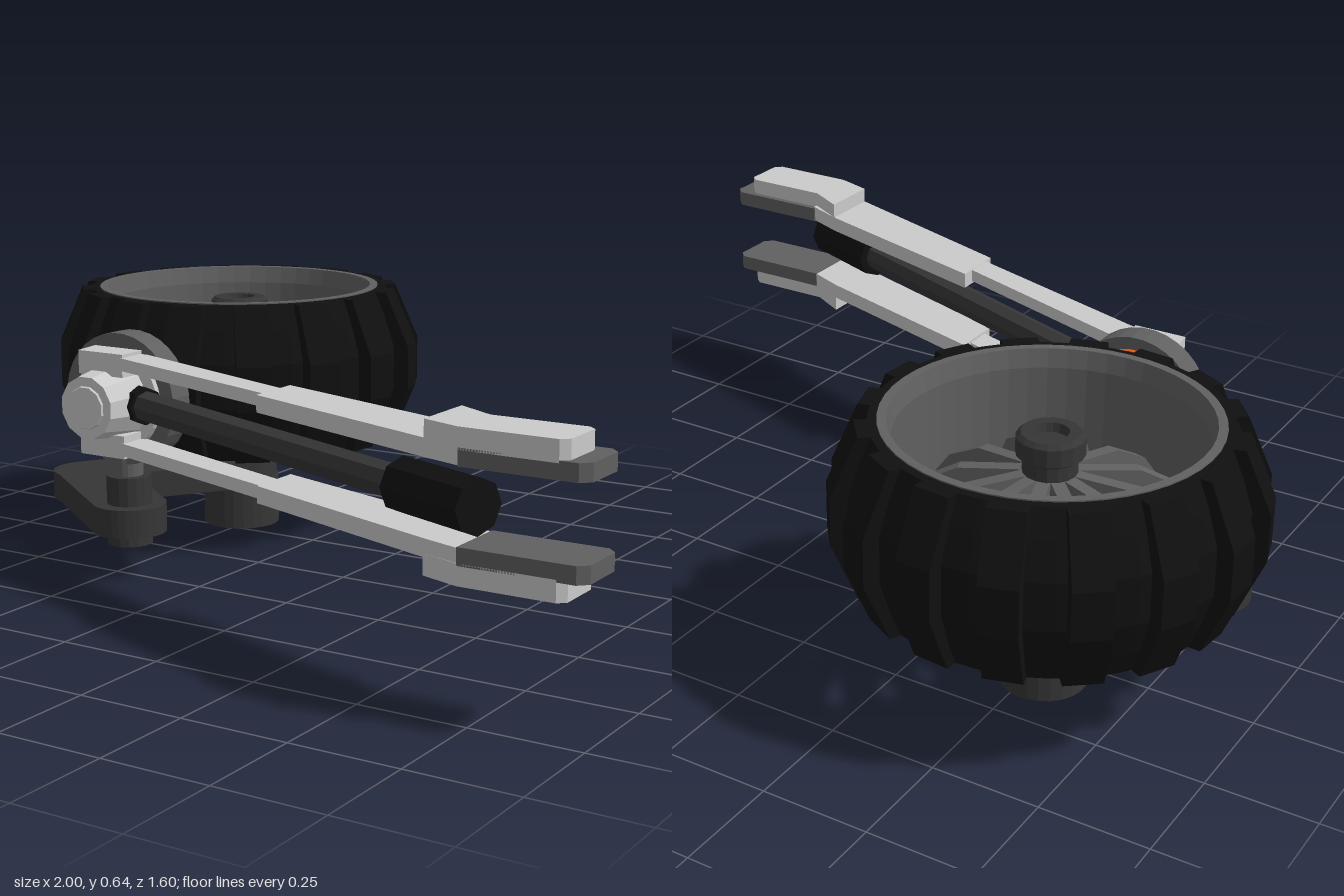
import * as THREE from 'three';

const mat = (color) => new THREE.MeshStandardMaterial({ color, flatShading: true, side: THREE.DoubleSide });

export function createModel() {
  const model = new THREE.Group();
  const light = mat(0xcccccc), grey = mat(0x606060), dark = mat(0x363636);
  const black = mat(0x101010), orange = mat(0xe05a1a);
  const V = (x, y, z) => new THREE.Vector3(x, y, z);

  const add = (name, geometry, material, parent = model) => {
    const mesh = new THREE.Mesh(geometry, material);
    mesh.name = name;
    parent.add(mesh);
    return mesh;
  };
  const polygon = (points) => new THREE.Shape(points.map(([x, y]) => new THREE.Vector2(x, y)));

  // Horizontal plate: outline in (x, z), between heights y0 and y1
  const plate = (name, shape, y0, y1, material, parent) => {
    const g = new THREE.ExtrudeGeometry(shape, { depth: y1 - y0, bevelEnabled: false, curveSegments: 8 });
    g.rotateX(Math.PI / 2).translate(0, y1, 0);
    return add(name, g, material, parent);
  };

  // Cylinder or cone running from a to b
  const rod = (name, a, b, ra, rb, sides, material, parent) => {
    const dir = b.clone().sub(a);
    const g = new THREE.CylinderGeometry(rb, ra, dir.length(), sides);
    g.rotateY(Math.PI / sides);
    const mesh = add(name, g, material, parent);
    mesh.quaternion.setFromUnitVectors(V(0, 1, 0), dir.normalize());
    mesh.position.copy(a).add(b).multiplyScalar(0.5);
    return mesh;
  };

  // Wheel lying flat, axle vertical
  const wheel = new THREE.Group();
  wheel.name = 'wheel';
  wheel.position.set(-0.53, 0, -0.33);
  model.add(wheel);
  const lathe = (name, pts, sides, material) =>
    add(name, new THREE.LatheGeometry(pts.map(([r, y]) => new THREE.Vector2(r, y)), sides), material, wheel);

  lathe('tire', [[0.36, 0.25], [0.385, 0.25], [0.41, 0.31], [0.435, 0.39], [0.435, 0.5], [0.41, 0.58],
    [0.385, 0.64], [0.36, 0.64], [0.36, 0.25]], 48, black);
  lathe('rim', [[0.343, 0.25], [0.365, 0.245], [0.365, 0.643], [0.345, 0.643], [0.335, 0.6], [0.335, 0.29],
    [0.343, 0.25]], 48, grey);

  // Tread blocks follow the tire section
  const treadShape = polygon([[0.38, 0.25], [0.41, 0.25], [0.47, 0.39], [0.47, 0.5], [0.41, 0.64], [0.38, 0.64]]);
  for (let i = 0; i < 16; i++) {
    const g = new THREE.ExtrudeGeometry(treadShape, { depth: 0.085, bevelEnabled: false });
    g.translate(0, 0, -0.0425).rotateY(THREE.MathUtils.degToRad(84 - 22.5 * i));
    add('treadBlock', g, black, wheel);
  }

  // Arched spokes dropping from hub to rim
  const spokeShape = polygon([[0.04, 0.52], [0.2, 0.5], [0.29, 0.45], [0.345, 0.38],
    [0.345, 0.32], [0.27, 0.38], [0.18, 0.43], [0.04, 0.44]]);
  for (let i = 0; i < 12; i++) {
    const g = new THREE.ExtrudeGeometry(spokeShape, { depth: 0.03, bevelEnabled: false });
    g.translate(0, 0, -0.015).rotateY(THREE.MathUtils.degToRad(15 + 30 * i));
    add('spoke', g, grey, wheel);
  }
  lathe('hub', [[0, 0.41], [0.06, 0.41], [0.06, 0.55], [0.075, 0.56], [0.075, 0.6], [0.065, 0.61],
    [0.04, 0.61], [0.035, 0.59], [0, 0.59]], 16, dark);
  rod('axle', V(0, 0.17, 0), V(0, 0.42, 0), 0.075, 0.075, 20, grey, wheel);
  rod('axleFoot', V(0, 0, 0), V(0, 0.13, 0), 0.1, 0.1, 24, dark, wheel);

  // Bent crank below the wheel
  const link = (name, a, b, r) => {
    const t = Math.atan2(b[1] - a[1], b[0] - a[0]);
    const shape = new THREE.Shape();
    shape.absarc(a[0], a[1], r, t + Math.PI / 2, t + Math.PI * 1.5, false);
    shape.absarc(b[0], b[1], r, t - Math.PI / 2, t + Math.PI / 2, false);
    plate(name, shape, 0.11, 0.18, dark);
  };
  link('crankInner', [-0.53, -0.33], [-0.765, 0.02], 0.095);
  link('crankOuter', [-0.765, 0.02], [-0.46, 0.245], 0.09);
  rod('crankPin', V(-0.46, 0.08, 0.245), V(-0.46, 0.25, 0.245), 0.055, 0.055, 16, dark);
  rod('crankNeck', V(-0.46, 0.25, 0.245), V(-0.46, 0.31, 0.245), 0.035, 0.035, 16, grey);

  // Swivel disc with coloured ring and rear cap
  const P = (z) => V(-0.46, 0.44, z);
  rod('swivelDisc', P(0.21), P(0.275), 0.16, 0.16, 32, grey);
  rod('swivelRing', P(0.198), P(0.212), 0.13, 0.13, 32, orange);
  rod('swivelCap', P(0.165), P(0.2), 0.1, 0.13, 32, light);
  rod('frontCollar', P(0.27), P(0.285), 0.125, 0.12, 32, light);
  rod('pivotBody', P(0.275), P(0.4), 0.095, 0.075, 12, light);
  rod('pivotCap', P(0.395), P(0.405), 0.055, 0.05, 12, light);

  // Twin fork arms, mirrored about the middle height
  const mid = 0.44;
  const barShape = polygon([[-0.46, 0.275], [-0.37, 0.28], [0.13, 0.46], [0.13, 0.53], [-0.4, 0.35], [-0.46, 0.35]]);
  const bladeShape = polygon([[0.13, 0.425], [0.64, 0.585], [0.735, 0.625], [0.735, 0.765], [0.64, 0.735], [0.13, 0.555]]);
  const tipShape = polygon([[0.73, 0.62], [0.98, 0.62], [1, 0.64], [1, 0.745], [0.98, 0.765], [0.73, 0.765]]);
  const padShape = polygon([[0.64, 0.585], [0.73, 0.635], [0.94, 0.635], [0.957, 0.65], [0.957, 0.75],
    [0.94, 0.765], [0.73, 0.765], [0.64, 0.735]]);
  for (const s of [1, -1]) {
    const arm = new THREE.Group();
    arm.name = s > 0 ? 'upperArm' : 'lowerArm';
    model.add(arm);
    const slab = (name, shape, h0, h1, m) =>
      plate(name, shape, Math.min(mid + s * h0, mid + s * h1), Math.max(mid + s * h0, mid + s * h1), m, arm);
    slab('armBar', barShape, 0.087, 0.117, light);
    slab('armBlade', bladeShape, 0.08, 0.118, light);
    slab('fingerPlate', tipShape, 0.078, 0.115, grey);
    slab('fingerPad', padShape, 0.11, 0.155, light);
    slab('armLug', polygon([[-0.53, 0.27], [-0.39, 0.27], [-0.39, 0.35], [-0.52, 0.35]]), 0.07, 0.125, light);
  }

  // Central piston with octagonal grip
  rod('pistonCollar', V(-0.41, mid, 0.29), V(-0.35, mid, 0.312), 0.045, 0.045, 8, black);
  rod('pistonRod', V(-0.38, mid, 0.3), V(0.57, mid, 0.668), 0.037, 0.037, 8, dark);
  rod('pistonGrip', V(0.55, mid, 0.66), V(0.765, mid, 0.744), 0.058, 0.058, 8, black);
  return model;
}
